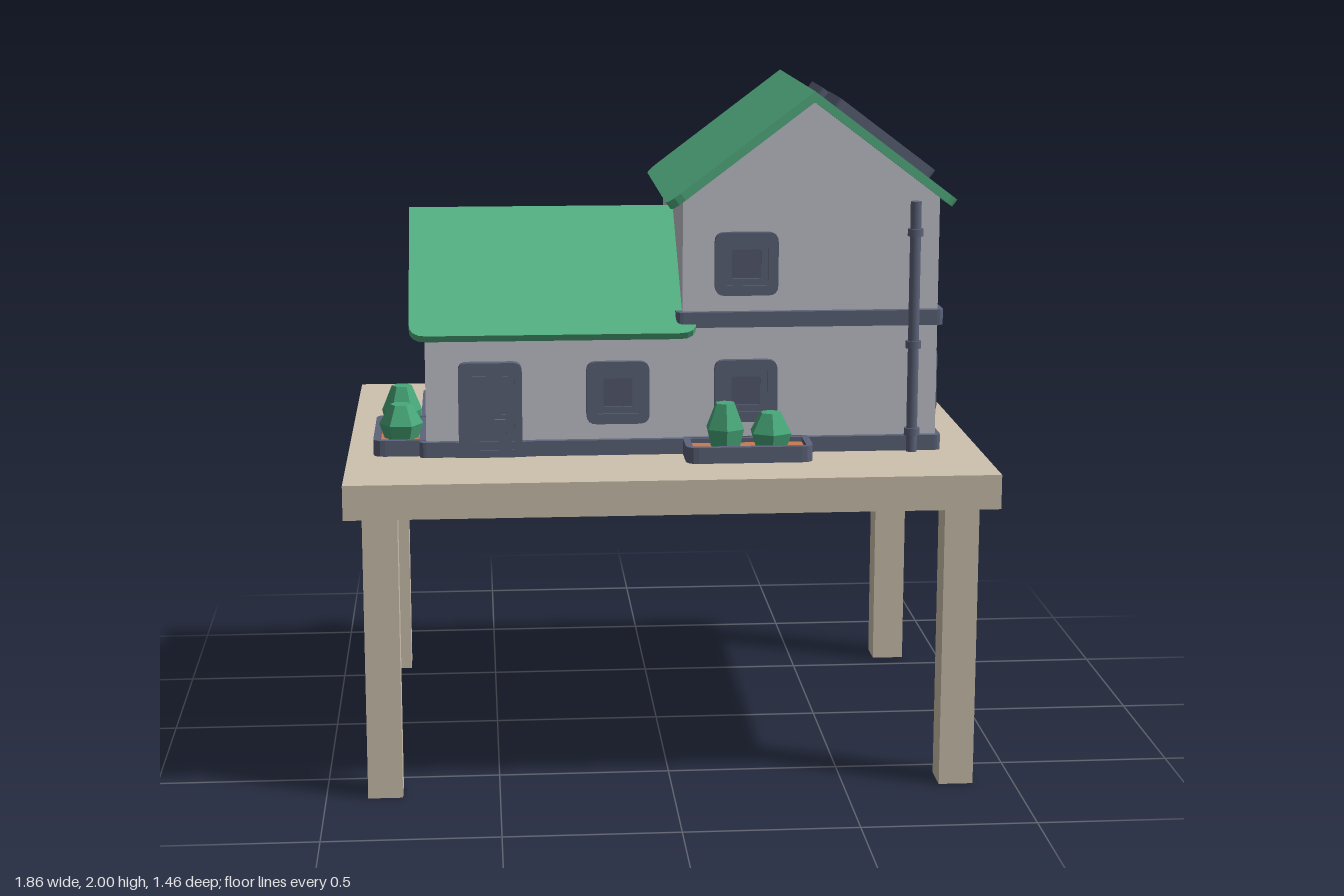
import * as THREE from 'three';

const mat = (name, color) => Object.assign(new THREE.MeshStandardMaterial({ color }), { name });

export function createModel() {
  const wood = mat('wood', 0xcdc2ad), wall = mat('wall', 0xc5c4ce), trim = mat('trim', 0x5d647a);
  const roof = mat('roof', 0x55b384), glass = mat('glass', 0x555b70), soil = mat('soil', 0xc87a52);
  const leaf = mat('leaf', 0x48a87a), solar = mat('solar', 0x55566a);
  const model = new THREE.Group();
  model.name = 'houseOnTable';

  const group = (name, parent = model) => {
    const g = new THREE.Group();
    g.name = name;
    parent.add(g);
    return g;
  };
  const mesh = (name, geo, material, parent, x = 0, y = 0, z = 0) => {
    const m = new THREE.Mesh(geo, material);
    m.name = name;
    m.position.set(x, y, z);
    parent.add(m);
    return m;
  };
  const box = (name, w, h, d, material, parent, x, y, z) =>
    mesh(name, new THREE.BoxGeometry(w, h, d), material, parent, x, y, z);
  const extrude = (shape, depth) =>
    new THREE.ExtrudeGeometry(shape, { depth, bevelEnabled: false, curveSegments: 4 });

  // Rounded rectangle centred on the origin, as a shape or a hole
  const rounded = (w, h, r, Type = THREE.Shape) => {
    const s = new Type(), a = w / 2, b = h / 2;
    s.moveTo(-a + r, -b);
    s.lineTo(a - r, -b).quadraticCurveTo(a, -b, a, -b + r);
    s.lineTo(a, b - r).quadraticCurveTo(a, b, a - r, b);
    s.lineTo(-a + r, b).quadraticCurveTo(-a, b, -a, b - r);
    s.lineTo(-a, -b + r).quadraticCurveTo(-a, -b, -a + r, -b);
    return s;
  };
  const ring = (w, h, edge, depth, r = 0.02) => {
    const s = rounded(w, h, r);
    s.holes.push(rounded(w - 2 * edge, h - 2 * edge, 0.006, THREE.Path));
    return extrude(s, depth);
  };

  // Table
  const table = group('table');
  box('tabletop', 1.86, 0.1, 1.46, wood, table, 0, 0.89, 0);
  for (const x of [-0.83, 0.83]) for (const z of [-0.62, 0.62])
    box('tableLeg', 0.1, 0.84, 0.1, wood, table, x, 0.42, z);

  // Gabled walls, with the ridge along z
  const slope = 0.753, angle = Math.atan(slope), thick = 0.025;
  const gable = (name, half, bottom, ridge, z0, z1, parent) => {
    const eave = ridge - half * slope;
    const s = new THREE.Shape([[-half, bottom], [half, bottom], [half, eave], [0, ridge], [-half, eave]]
      .map(p => new THREE.Vector2(...p)));
    return mesh(name, extrude(s, z1 - z0), wall, parent, 0, 0, z0);
  };
  // Axes of a slope: along the ridge, downhill, outward
  const slopeBasis = new THREE.Matrix4().makeBasis(
    new THREE.Vector3(0, 0, 1),
    new THREE.Vector3(Math.cos(angle), -Math.sin(angle), 0),
    new THREE.Vector3(Math.sin(angle), Math.cos(angle), 0));
  // Pair of roof slabs with rounded eave corners
  const gableRoof = (name, half, ridge, z0, z1, parent, r = 0.05) => {
    const S = half / Math.cos(angle);
    const s = new THREE.Shape();
    s.moveTo(z0, 0);
    s.lineTo(z1, 0).lineTo(z1, S - r).quadraticCurveTo(z1, S, z1 - r, S);
    s.lineTo(z0 + r, S).quadraticCurveTo(z0, S, z0, S - r);
    const left = extrude(s, thick).translate(0, 0, -thick).applyMatrix4(slopeBasis);
    mesh(name + 'Left', left, roof, parent, 0, ridge, 0);
    // opposite slab: half turn, then slid back to the same z range
    mesh(name + 'Right', left.clone().rotateY(Math.PI).translate(0, 0, z0 + z1), roof, parent, 0, ridge, 0);
  };

  // Two-storey block
  const block = group('mainBlock');
  block.position.x = 0.425;
  gable('mainWalls', 0.375, 0.94, 1.98, -0.375, 0.375, block);
  gableRoof('mainRoof', 0.425, 2, -0.42, 0.42, block);

  // Low wing, turned so its ridge runs along x
  const wing = group('wing');
  wing.rotation.y = Math.PI / 2;
  gable('wingWalls', 0.375, 0.94, 1.605, -0.7, 0.1, wing);
  gableRoof('wingRoof', 0.425, 1.625, -0.745, 0.09, wing);

  // Plinth and floor band
  const slabY = (name, w, d, h, x, y) =>
    mesh(name, extrude(rounded(w, d, 0.02), h).rotateX(-Math.PI / 2), trim, model, x, y, 0);
  slabY('plinth', 1.535, 0.79, 0.045, 0.0475, 0.94);
  slabY('floorBand', 0.785, 0.795, 0.045, 0.4225, 1.315);

  // Dormer on the back slope
  const dormer = group('dormer');
  dormer.position.x = -0.1375;
  gable('dormerWall', 0.11, 1.32, 1.545, -0.365, -0.1, dormer);
  gableRoof('dormerRoof', 0.1375, 1.563, -0.4, -0.07, dormer, 0.025);
  const tri = (k, Type = THREE.Shape) => new Type([[-0.09, -0.035], [0.09, -0.035], [0, 0.04]]
    .map(([x, y]) => new THREE.Vector2(x * k, y * k)));
  const triFrame = tri(1);
  triFrame.holes.push(tri(0.55, THREE.Path));
  mesh('dormerWindowFrame', extrude(triFrame, 0.015), trim, dormer, 0, 1.435, -0.38);
  mesh('dormerWindowPane', extrude(tri(0.6), 0.006), glass, dormer, 0, 1.435, -0.371);

  // Windows: outer frame, one or two sashes, panes
  const addWindow = (x, y, z, turn, wide) => {
    const g = group('window'), w = wide ? 0.29 : 0.185, h = 0.185;
    g.position.set(x, y, z);
    g.rotation.y = turn;
    mesh('windowFrame', ring(w, h, 0.03, 0.02, 0.03), trim, g);
    const sash = wide ? 0.115 : 0.125;
    for (const sx of wide ? [-0.0575, 0.0575] : [0]) {
      mesh('windowSash', ring(sash, 0.125, 0.02, 0.013, 0.004), trim, g, sx);
      box('windowPane', sash - 0.03, 0.095, 0.005, glass, g, sx, 0, 0.0035);
    }
  };
  addWindow(0.235, 1.5, 0.375, 0, false);
  addWindow(0.235, 1.125, 0.375, 0, false);
  addWindow(-0.14, 1.125, 0.375, 0, false);
  addWindow(0.8, 1.125, 0.19, Math.PI / 2, false);
  for (const [x, y] of [[0.62, 1.5], [0.235, 1.5], [-0.13, 1.125], [-0.5, 1.125]])
    addWindow(x, y, -0.375, Math.PI, true);

  // Doors
  const addDoor = (x, z, turn) => {
    const g = group('door');
    g.position.set(x, 1.08, z);
    g.rotation.y = turn;
    mesh('doorFrame', ring(0.185, 0.28, 0.022, 0.03, 0.025), trim, g);
    box('doorPanel', 0.145, 0.245, 0.022, trim, g, 0, 0, 0.011);
    mesh('doorInset', ring(0.11, 0.2, 0.008, 0.004, 0.004), trim, g, 0, 0, 0.022);
    box('handlePlate', 0.012, 0.045, 0.008, trim, g, 0.038, -0.035, 0.027);
    box('handleLever', 0.032, 0.01, 0.01, trim, g, 0.028, -0.03, 0.037);
    box('doorStep', 0.205, 0.045, 0.026, trim, g, 0, -0.1175, 0.013);
  };
  addDoor(-0.5125, 0.375, 0);
  addDoor(0.255, -0.375, Math.PI);

  // Drainpipe
  const pipe = group('drainpipe');
  pipe.position.set(0.725, 0, 0.405);
  mesh('pipe', new THREE.CylinderGeometry(0.016, 0.016, 0.74, 10), trim, pipe, 0, 1.31, 0);
  for (const y of [1.0, 1.26, 1.59]) {
    mesh('pipeCollar', new THREE.CylinderGeometry(0.023, 0.023, 0.022, 10), trim, pipe, 0, y, 0);
    box('pipeBracket', 0.014, 0.014, 0.035, trim, pipe, 0, y, -0.017);
  }

  // Solar panels on the left slope
  for (const z of [-0.19, 0.19]) {
    const g = group('solarPanel');
    const m = slopeBasis.clone().setPosition(0.425, 2, 0);
    m.multiply(new THREE.Matrix4().makeTranslation(z, 0.265, 0));
    m.decompose(g.position, g.quaternion, g.scale);
    mesh('panelFrame', ring(0.278, 0.355, 0.02, 0.03, 0.025), trim, g);
    box('panelBar', 0.014, 0.33, 0.026, trim, g, 0, 0, 0.013);
    for (const u of [-0.063, 0.063]) box('panelCell', 0.116, 0.32, 0.018, solar, g, u, 0, 0.009);
  }

  // Planters with faceted bushes
  const bush = (r, h) => new THREE.LatheGeometry(
    [[0, 0], [r * 0.75, 0], [r, h * 0.45], [r * 0.5, h], [0, h]].map(p => new THREE.Vector2(...p)).map(
      p => p), 6);
  const addPlanter = (x, z, turn) => {
    const g = group('planter');
    g.position.set(x, 0.94, z);
    g.rotation.y = turn;
    mesh('planterRim', ring(0.37, 0.17, 0.02, 0.047, 0.035).rotateX(-Math.PI / 2), trim, g);
    box('planterSoil', 0.335, 0.032, 0.135, soil, g, 0, 0.016, 0);
    const shapes = [[-0.066, 0.06, 0.135], [0.068, 0.065, 0.105]];
    for (const [bx, r, h] of shapes) {
      const geo = bush(r, h).toNonIndexed();
      geo.computeVertexNormals();
      mesh('bush', geo, leaf, g, bx, 0.028, 0.005);
    }
  };
  addPlanter(0.235, 0.445, 0);
  addPlanter(0.61, -0.445, Math.PI);
  addPlanter(-0.77, 0.185, -Math.PI / 2);

  return model;
}
